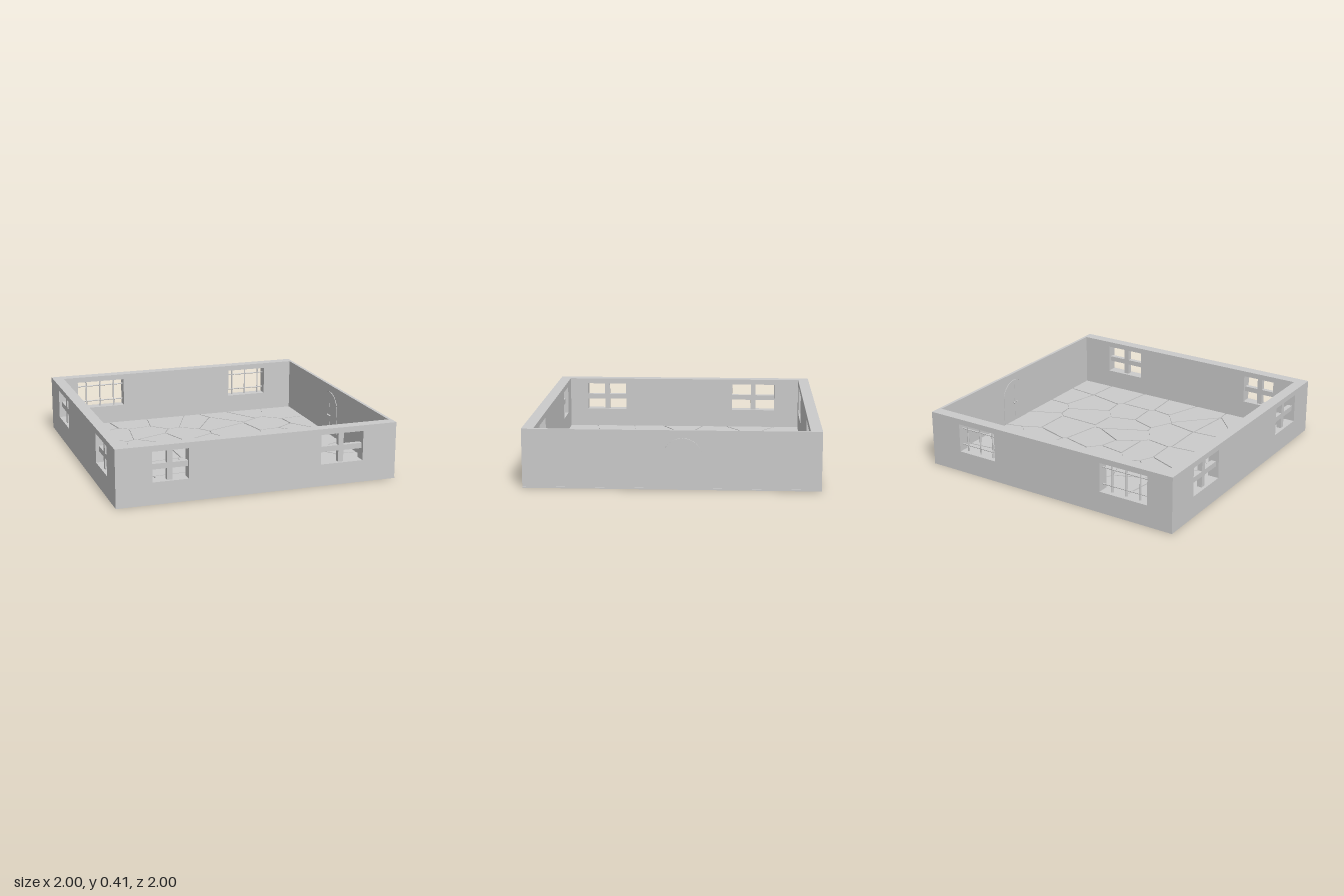
import * as THREE from 'three';

const mat = new THREE.MeshStandardMaterial({ color: 0xcccccc, flatShading: true });
const BASE = 0.01, TOP = 0.405;      // wall foot and wall top
const SILL = 0.155, HEAD = 0.365;    // window opening heights
const THICK = 0.08;
const DOOR = { mid: -0.075, half: 0.13, spring: 0.25, top: 0.35 };

function add(parent, name, geometry, x = 0, y = 0, z = 0) {
  const mesh = new THREE.Mesh(geometry, mat);
  mesh.name = name;
  mesh.position.set(x, y, z);
  parent.add(mesh);
  return mesh;
}

const polygon = (pts) => pts.map(([x, y]) => new THREE.Vector2(x, y));

// Upright slab drawn in x/y, extruded towards +z
function slab(outline, holes, depth) {
  const shape = new THREE.Shape(polygon(outline));
  for (const h of holes) shape.holes.push(new THREE.Path(polygon(h)));
  return new THREE.ExtrudeGeometry(shape, { depth, bevelEnabled: false });
}

const rect = (a, b, y0, y1) => [[a, y0], [b, y0], [b, y1], [a, y1]];

// Arched outline between two positions of the door opening
function arch(from, to, y0, grow = 0) {
  const rise = DOOR.top - DOOR.spring;
  const r = (DOOR.half ** 2 + rise ** 2) / (2 * rise);
  const pts = [[from, y0], [to, y0]];
  for (let i = 0; i <= 16; i++) {
    const u = to + (from - to) * i / 16;
    const d = Math.min(Math.abs(u - DOOR.mid), DOOR.half);
    pts.push([u, DOOR.top - r + Math.sqrt(r * r - d * d) + grow]);
  }
  return pts;
}

// Wall with windows; each window is filled with a cross or with a grille of rods
function windowWall(name, a, b, windows, grille) {
  const wall = new THREE.Group();
  wall.name = name;
  add(wall, name + 'Body', slab(rect(a, b, BASE, TOP), windows.map(([p, q]) => rect(p, q, SILL, HEAD)), THICK));
  const cy = (SILL + HEAD) / 2 - 0.005;
  for (const [p, q] of windows) {
    const c = (p + q) / 2, w = q - p, h = HEAD - SILL;
    if (grille) {
      for (const k of [-0.11, 0, 0.11])
        add(wall, 'uprightRod', new THREE.CylinderGeometry(0.006, 0.006, h, 8), c + k, SILL + h / 2, THICK / 2);
      for (const y of [0.2, 0.322])
        add(wall, 'crossRod', new THREE.CylinderGeometry(0.005, 0.005, w, 8).rotateZ(Math.PI / 2), c, y, THICK / 2);
    } else {
      add(wall, 'windowPost', new THREE.BoxGeometry(0.038, h, 0.036), c, SILL + h / 2, THICK / 2);
      add(wall, 'windowRail', new THREE.BoxGeometry(w, 0.038, 0.036), c, cy, THICK / 2);
    }
  }
  return wall;
}

// Keep the part of a convex polygon nearer to p than to q
function clipNearer(poly, p, q, gap) {
  const nx = q[0] - p[0], ny = q[1] - p[1], len = Math.hypot(nx, ny);
  const side = ([x, y]) => ((x - (p[0] + q[0]) / 2) * nx + (y - (p[1] + q[1]) / 2) * ny) / len + gap;
  const out = [];
  poly.forEach((v, i) => {
    const w = poly[(i + 1) % poly.length], s = side(v), t = side(w);
    if (s <= 0) out.push(v);
    if (s * t < 0) out.push([v[0] + (w[0] - v[0]) * s / (s - t), v[1] + (w[1] - v[1]) * s / (s - t)]);
  });
  return out;
}

// Irregular flagstones laid from jittered seed points
function flagstones() {
  const group = new THREE.Group();
  group.name = 'flagstones';
  let state = 11;
  const rnd = () => (state = (state * 16807) % 2147483647) / 2147483647;
  for (let i = 0; i < 20; i++) rnd();
  const n = 7, x0 = -0.92, x1 = 0.975, y0 = -0.92, y1 = 0.92, seeds = [];
  for (let i = 0; i < n; i++)
    for (let j = 0; j < n; j++)
      seeds.push([x0 + (x1 - x0) * (i + 0.05 + 0.9 * rnd()) / n, y0 + (y1 - y0) * (j + 0.05 + 0.9 * rnd()) / n]);
  for (const p of seeds) {
    let cell = rect(x0, x1, y0, y1);
    for (const q of seeds) if (q !== p && cell.length) cell = clipNearer(cell, p, q, 0.005);
    if (cell.length > 2) add(group, 'flagstone', slab(cell, [], 0.008).rotateX(-Math.PI / 2), 0, BASE, 0);
  }
  return group;
}

export function createModel() {
  const model = new THREE.Group();
  model.name = 'walledRoom';

  // Floor
  add(model, 'floorSlab', new THREE.BoxGeometry(2, BASE, 2), 0, BASE / 2, 0);
  model.add(flagstones());

  // Front and back walls
  const front = windowWall('frontWall', -0.92, 0.975, [[-0.75, -0.5], [0.44, 0.75]], false);
  front.position.z = 1 - THICK;
  const back = windowWall('backWall', -0.92, 0.975, [[-0.81, -0.44], [0.44, 0.75]], true);
  back.position.z = -1;

  // Side wall with two windows
  const side = windowWall('windowSideWall', -1, 1, [[-0.73, -0.39], [0.47, 0.78]], false);
  side.rotation.y = -Math.PI / 2;
  side.position.x = -1 + THICK;
  model.add(front, back, side);

  // Thin side wall with an arched doorway
  const { mid, half } = DOOR;
  const doorWall = new THREE.Group();
  doorWall.name = 'doorSideWall';
  const opening = arch(mid - half, mid + half, BASE, 0.002);
  const outline = [[-1, BASE], [opening[0][0], BASE], ...opening.slice(2).reverse(), [opening[1][0], BASE], [1, BASE], [1, TOP], [-1, TOP]];
  add(doorWall, 'doorWallBody', slab(outline, [], 0.022));

  // Double door, slightly proud of the wall on both faces
  for (const s of [-1, 1]) {
    const a = mid + s * 0.001, b = mid + s * (half - 0.001);
    add(doorWall, 'doorLeaf', slab(arch(Math.min(a, b), Math.max(a, b), BASE), [], 0.028), 0, 0, -0.003);
    // Inner handle: stem and knob
    const hz = mid + s * 0.015;
    add(doorWall, 'handleStem', new THREE.CylinderGeometry(0.003, 0.003, 0.012, 8).rotateX(Math.PI / 2), hz, 0.17, 0.029);
    add(doorWall, 'handleKnob', new THREE.SphereGeometry(0.007, 10, 8), hz, 0.17, 0.034);
  }
  doorWall.rotation.y = -Math.PI / 2;
  doorWall.position.x = 0.997;
  model.add(doorWall);

  return model;
}
